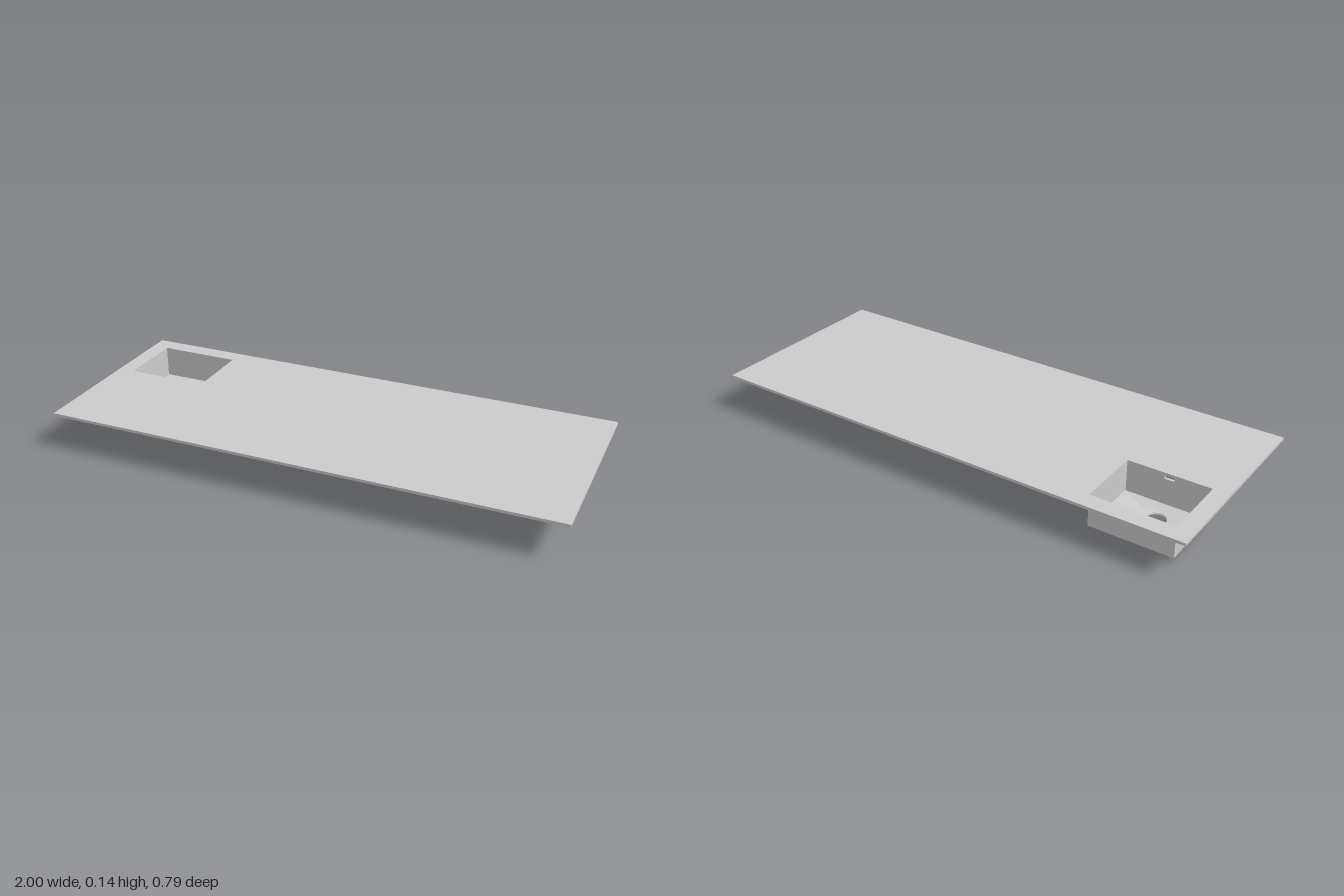
import * as THREE from 'three';

const X0 = -0.935, X1 = -0.612, Z0 = -0.328, Z1 = -0.063; // basin extents
const TOP = 0.145, UNDER = 0.134, FLOOR = 0.02;
const DRAIN = { x: -0.775, z: -0.143, r: 0.036 };
const SLOT = { x0: -0.794, x1: -0.757, y0: 0.121, y1: 0.1335 };

const grey = new THREE.MeshStandardMaterial({ color: 0xcccccc, flatShading: true });
const sheet = new THREE.MeshStandardMaterial({ color: 0xcccccc, flatShading: true, side: THREE.DoubleSide });

function rect(Type, x0, y0, x1, y1) {
  return new Type([[x0, y0], [x1, y0], [x1, y1], [x0, y1]].map(([x, y]) => new THREE.Vector2(x, y)));
}

function add(group, name, geometry, material = sheet) {
  const mesh = new THREE.Mesh(geometry, material);
  mesh.name = name;
  group.add(mesh);
  return mesh;
}

// Surface through a list of closed rings with equal point counts
function loft(rings) {
  const n = rings[0].length, index = [];
  for (let r = 0; r < rings.length - 1; r++) {
    for (let i = 0; i < n; i++) {
      const a = r * n + i, b = r * n + (i + 1) % n;
      index.push(a, b, a + n, b, b + n, a + n);
    }
  }
  const geometry = new THREE.BufferGeometry();
  geometry.setAttribute('position', new THREE.Float32BufferAttribute(rings.flat(2), 3));
  geometry.setIndex(index);
  geometry.computeVertexNormals();
  return geometry;
}

// Angles around the drain, including the exact directions of the basin corners
function drainAngles() {
  const corners = [[X0, Z0], [X1, Z0], [X1, Z1], [X0, Z1]]
    .map(([x, z]) => Math.atan2(z - DRAIN.z, x - DRAIN.x));
  const even = Array.from({ length: 32 }, (_, i) => -Math.PI + (i * Math.PI) / 16);
  return [...even, ...corners].sort((a, b) => a - b);
}

function circleRing(angles, radius, y) {
  return angles.map(a => [DRAIN.x + radius * Math.cos(a), y, DRAIN.z + radius * Math.sin(a)]);
}

function basinRing(angles, y) {
  return angles.map(a => {
    const c = Math.cos(a), s = Math.sin(a);
    const tx = ((c > 0 ? X1 : X0) - DRAIN.x) / (c || 1e-9);
    const tz = ((s > 0 ? Z1 : Z0) - DRAIN.z) / (s || 1e-9);
    const t = Math.min(Math.abs(tx), Math.abs(tz));
    return [DRAIN.x + t * c, y, DRAIN.z + t * s];
  });
}

export function createModel() {
  const model = new THREE.Group();
  model.name = 'countertopWithSink';

  // Worktop slab with the basin cut-out
  const top = rect(THREE.Shape, -1, -0.395, 1, 0.395);
  top.holes.push(rect(THREE.Path, X0, -Z1, X1, -Z0));
  const slab = new THREE.ExtrudeGeometry(top, { depth: TOP - UNDER, bevelEnabled: false });
  slab.rotateX(-Math.PI / 2);
  add(model, 'worktop', slab, grey).position.y = UNDER;

  const basin = new THREE.Group();
  basin.name = 'basin';
  model.add(basin);

  // Plain back and side walls
  const h = UNDER - FLOOR, midY = (UNDER + FLOOR) / 2;
  add(basin, 'backWall', new THREE.PlaneGeometry(X1 - X0, h)).position.set((X0 + X1) / 2, midY, Z0);
  for (const [name, x, turn] of [['rightWall', X0, 1], ['leftWall', X1, -1]]) {
    const wall = add(basin, name, new THREE.PlaneGeometry(Z1 - Z0, h));
    wall.rotation.y = (turn * Math.PI) / 2;
    wall.position.set(x, midY, (Z0 + Z1) / 2);
  }

  // Front wall pierced by the overflow slot
  const front = rect(THREE.Shape, X0, FLOOR, X1, UNDER);
  front.holes.push(rect(THREE.Path, SLOT.x0, SLOT.y0, SLOT.x1, SLOT.y1));
  add(basin, 'frontWall', new THREE.ShapeGeometry(front)).position.z = Z1;

  // Short open overflow sleeve behind the slot
  const sleeve = [Z1, -0.052].map(z => [
    [SLOT.x0, SLOT.y0, z], [SLOT.x1, SLOT.y0, z], [SLOT.x1, SLOT.y1, z], [SLOT.x0, SLOT.y1, z],
  ]);
  add(basin, 'overflowSleeve', loft(sleeve));

  // Sloping floor falling to the drain, then the open drain collar
  const angles = drainAngles();
  add(basin, 'floor', loft([basinRing(angles, FLOOR), circleRing(angles, DRAIN.r + 0.002, 0.006)]));
  add(basin, 'drainCollar', loft([
    circleRing(angles, DRAIN.r + 0.002, 0.006),
    circleRing(angles, DRAIN.r, 0),
  ]));

  return model;
}
